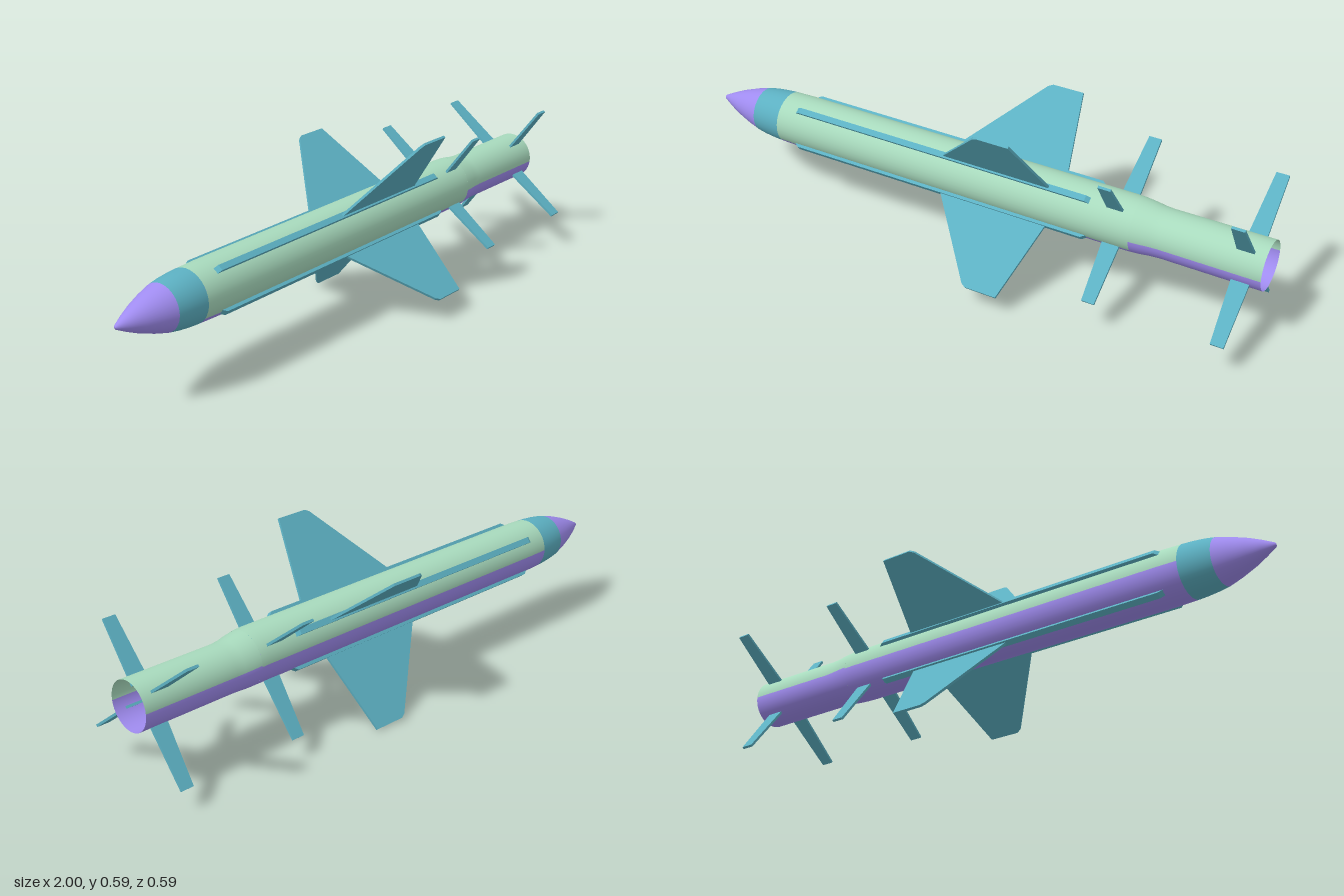
import * as THREE from 'three';

const GREEN = 0xa8dabd, PURPLE = 0xa08cf0, TEAL = 0x5cb0c2;
const AXIS_Y = 0.2935;
const rad = THREE.MathUtils.degToRad;

const material = (color) => new THREE.MeshStandardMaterial({ color, side: THREE.DoubleSide });

// Surface of revolution about the x axis; angles run from +z towards +y
function shell(name, profile, color, from = 0, to = 360) {
  const points = profile.map(([x, r]) => new THREE.Vector2(r, x));
  const segments = Math.max(8, Math.round((to - from) / 9));
  const geo = new THREE.LatheGeometry(points, segments, rad(-to), rad(to - from));
  geo.rotateZ(-Math.PI / 2);
  // The narrower tail sits slightly off the main axis
  const pos = geo.attributes.position;
  for (let i = 0; i < pos.count; i++) {
    const t = THREE.MathUtils.smoothstep(pos.getX(i), 0.55, 0.67);
    pos.setY(i, pos.getY(i) - 0.005 * t);
    pos.setZ(i, pos.getZ(i) - 0.005 * t);
  }
  const mesh = new THREE.Mesh(geo, material(color));
  mesh.name = name;
  return mesh;
}

// Thin plate drawn in (x, radius), turned about the body axis
function plate(name, outline, thickness, angle) {
  const shape = new THREE.Shape(outline.map(([x, r]) => new THREE.Vector2(x, r)));
  const geo = new THREE.ExtrudeGeometry(shape, { depth: thickness, bevelEnabled: false });
  geo.translate(0, 0, -thickness / 2);
  const mesh = new THREE.Mesh(geo, material(TEAL));
  mesh.name = name;
  mesh.rotation.x = rad(90 - angle);
  return mesh;
}

// Narrow fin with a slightly swept leading edge
const smallFin = (x, inner, outer) => [
  [x, inner], [x + 0.012, outer], [x + 0.054, outer], [x + 0.058, inner],
];

export function createModel() {
  const model = new THREE.Group();
  model.name = 'missile';
  const body = new THREE.Group();
  body.name = 'body';
  body.position.y = AXIS_Y;
  model.add(body);

  // Nose and collar
  body.add(shell('noseCone', [[-1, 0], [-0.997, 0.007], [-0.96, 0.026], [-0.92, 0.044],
    [-0.87, 0.062], [-0.825, 0.075]], PURPLE));
  body.add(shell('noseCollar', [[-0.825, 0.075], [-0.79, 0.081], [-0.75, 0.085], [-0.72, 0.0865]], TEAL));

  // Main tube in two coloured panels
  const tube = [[-0.72, 0.0865], [-0.65, 0.0885], [0.55, 0.0885], [0.58, 0.0875]];
  body.add(shell('upperBodyPanel', tube, GREEN, -37, 180));
  body.add(shell('lowerBodyPanel', tube, PURPLE, 180, 323));

  // Open tail tube and the bulkhead inside it
  const tail = [[0.58, 0.0875], [0.61, 0.085], [0.64, 0.081], [0.67, 0.079], [1, 0.08]];
  body.add(shell('upperTailPanel', tail, GREEN, -7, 177));
  body.add(shell('lowerTailPanel', tail, PURPLE, 177, 353));
  body.add(shell('tailBulkhead', [[0.6, 0], [0.6, 0.085]], GREEN));

  // Four sets of rail, wing, middle fin and tail fin
  for (let i = 0; i < 4; i++) {
    const angle = 53 + i * 90;
    // The first set of small fins is sunk deeper into the tube
    const [inner, outer] = i === 0 ? [0.042, 0.25] : [0.077, 0.284];
    body.add(plate('rail', [[-0.665, 0.08], [-0.64, 0.098], [0.42, 0.098], [0.445, 0.08]], 0.02, angle));
    body.add(plate('wing', [[-0.095, 0.08], [0.115, 0.355], [0.13, 0.364], [0.238, 0.364], [0.3, 0.08]], 0.008, angle));
    body.add(plate('middleFin', smallFin(0.489, inner, outer), 0.008, angle));
    body.add(plate('tailFin', smallFin(0.906, inner, outer), 0.008, angle));
  }
  return model;
}
